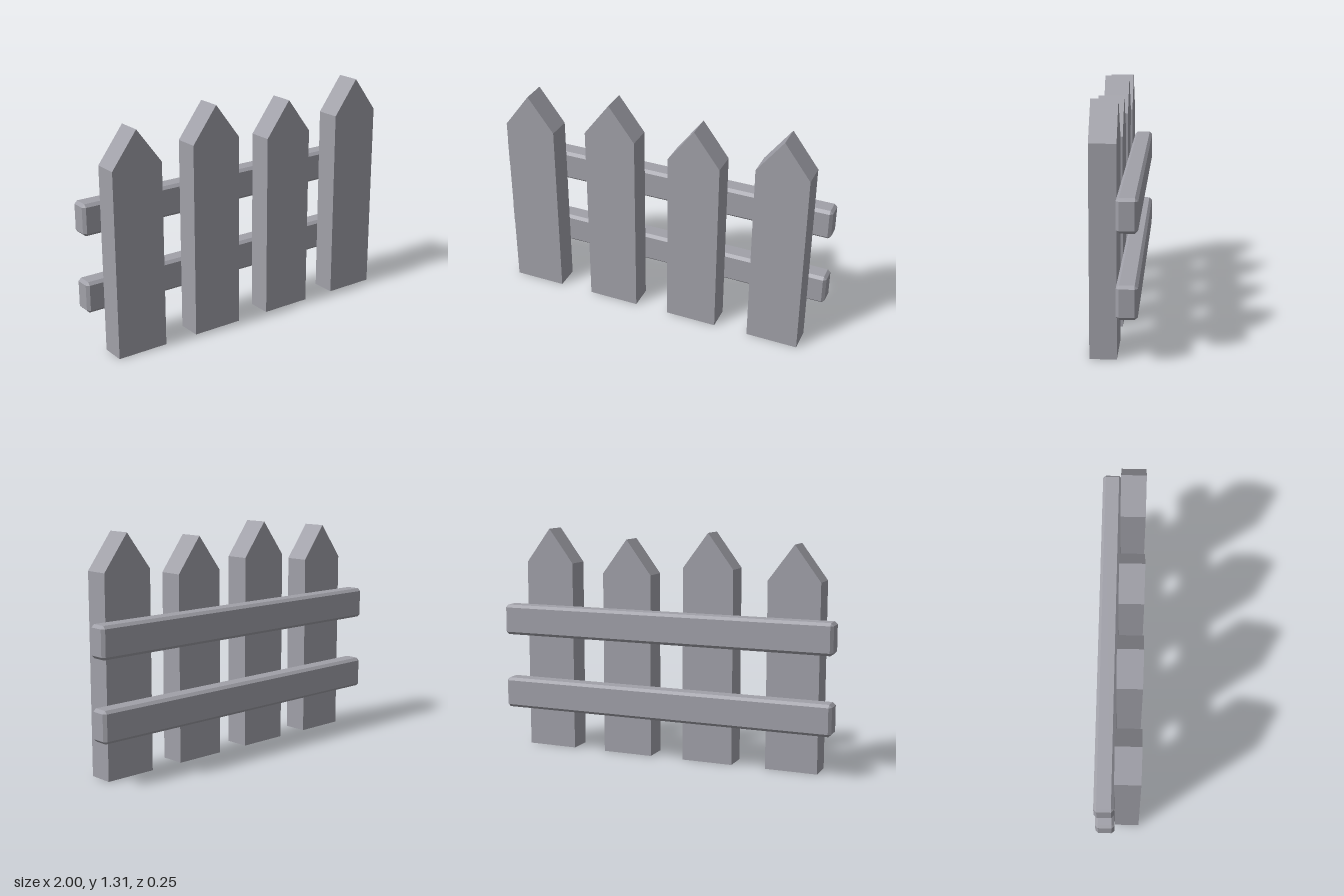
import * as THREE from 'three';
import { ConvexGeometry } from 'three/addons/geometries/ConvexGeometry.js';

const material = new THREE.MeshStandardMaterial({ color: 0xa0a0a8, flatShading: true });

// Pointed board, standing on y = 0
function picketGeometry(width, shoulder, tip, depth) {
  const w = width / 2;
  const shape = new THREE.Shape();
  shape.moveTo(-w, 0);
  shape.lineTo(w, 0);
  shape.lineTo(w, shoulder);
  shape.lineTo(0, tip);
  shape.lineTo(-w, shoulder);
  shape.closePath();
  return new THREE.ExtrudeGeometry(shape, { depth, bevelEnabled: false });
}

// Box with all twelve edges chamfered by c
function chamferedBox(width, height, depth, c) {
  const x = width / 2, y = height / 2, z = depth / 2;
  const points = [];
  for (const sx of [-1, 1]) for (const sy of [-1, 1]) for (const sz of [-1, 1]) {
    points.push(
      new THREE.Vector3(sx * x, sy * (y - c), sz * (z - c)),
      new THREE.Vector3(sx * (x - c), sy * y, sz * (z - c)),
      new THREE.Vector3(sx * (x - c), sy * (y - c), sz * z)
    );
  }
  return new ConvexGeometry(points);
}

export function createModel() {
  const fence = new THREE.Group();
  fence.name = 'picketFence';

  // Four pickets, alternately short and tall
  for (let i = 0; i < 4; i++) {
    const shoulder = i % 2 ? 1.11 : 1.06;
    const picket = new THREE.Mesh(picketGeometry(0.3, shoulder, shoulder + 0.2, 0.14), material);
    picket.name = `picket${i + 1}`;
    picket.position.set(-0.75 + i * 0.5, 0, -0.015);
    fence.add(picket);
  }

  // Two rails behind the pickets
  const railGeometry = chamferedBox(2, 0.178, 0.11, 0.016);
  for (const [name, y] of [['lowerRail', 0.33], ['upperRail', 0.771]]) {
    const rail = new THREE.Mesh(railGeometry, material);
    rail.name = name;
    rail.position.set(0, y, -0.07);
    fence.add(rail);
  }
  return fence;
}
